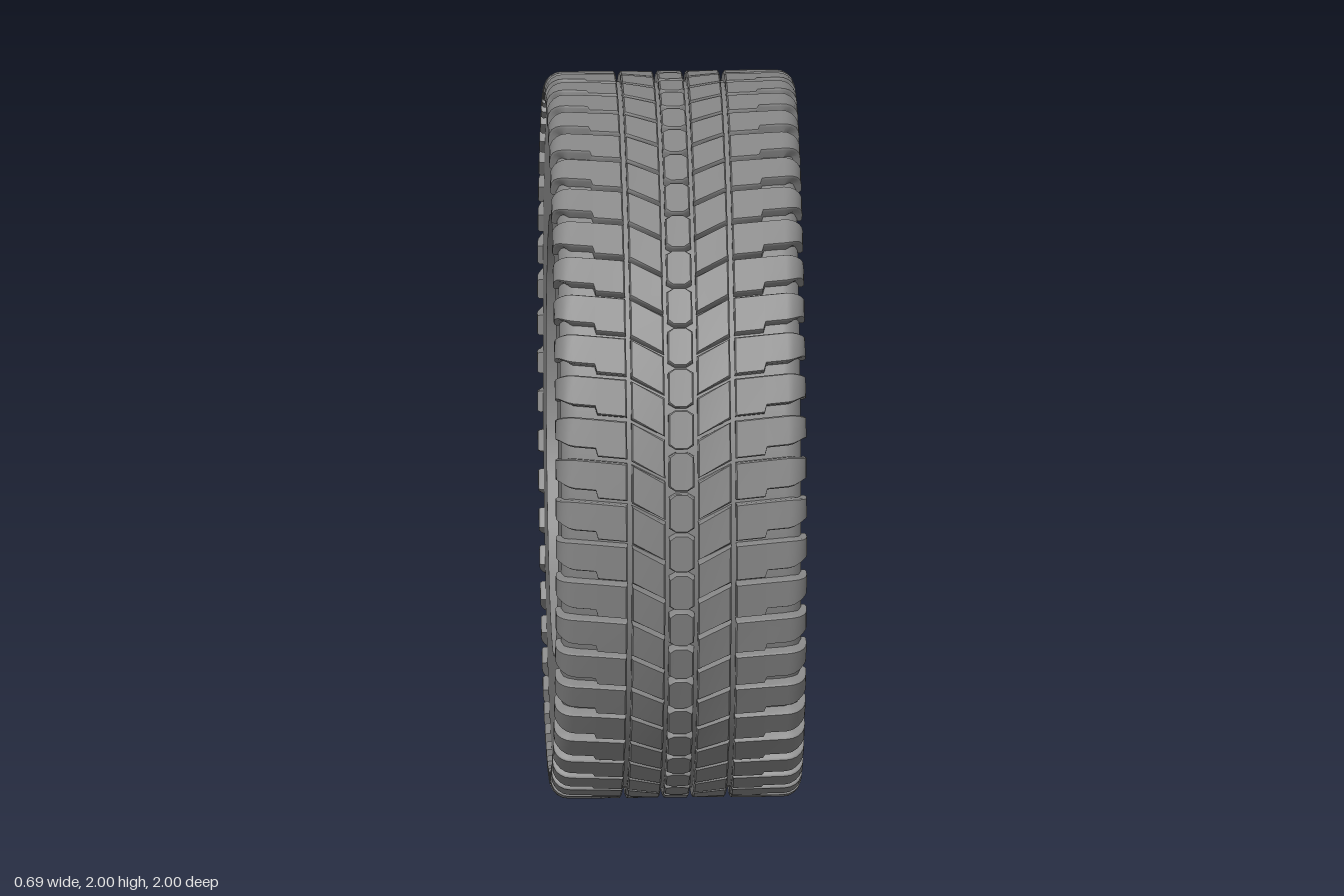
import * as THREE from 'three';
import { mergeGeometries } from 'three/addons/utils/BufferGeometryUtils.js';

const PITCHES = 54;              // tread blocks around the tyre
const STEP = (Math.PI * 2) / PITCHES;
const BORE = 0.61, BORE_SIDES = 27, WALL_X = 0.33;

// Tread cross-section by distance s from the centre line: flat crown, round shoulder, sidewall.
function profile(s, inset) {
  const a = Math.abs(s), flat = 0.295, R = 0.05, arc = (R * Math.PI) / 2;
  const t = THREE.MathUtils.clamp((a - flat) / R, 0, Math.PI / 2);
  const x = Math.min(a, flat) + (R - inset) * Math.sin(t);
  const r = 1 - R + (R - inset) * Math.cos(t) - Math.max(0, a - flat - arc);
  return [Math.sign(s) * x, r];
}

// One block: a box bent over the profile, its edges lo(a) and hi(a) in pitches, its top edges chamfered.
function block(list, lo, hi) {
  const n = list.length - 1;
  const g = new THREE.BoxGeometry(n, 1, 2, n, 1, 2);
  const p = g.attributes.position;
  for (let i = 0; i < p.count; i++) {
    const k = Math.round(p.getX(i) + n / 2), level = Math.round(p.getZ(i) + 1);
    const inset = [0.032, 0.006, 0][level];
    let s = list[k];
    const chamfer = level === 2 ? 1 : 0;
    if (k === 0) s += 0.004 * chamfer;
    if (k === n) s -= 0.004 * chamfer;
    const a = Math.abs(list[k]);
    const v = p.getY(i) > 0 ? hi(a) - 0.03 * chamfer : lo(a) + 0.03 * chamfer;
    const [x, r] = profile(s, inset);
    p.setXYZ(i, x, r * Math.sin(v * STEP), r * Math.cos(v * STEP));
  }
  g.computeVertexNormals();
  return g;
}

// Repeats a block all the way round as one mesh.
function ring(name, geometry, material) {
  const copies = [];
  for (let i = 0; i < PITCHES; i++) copies.push(geometry.clone().rotateX(i * STEP));
  const mesh = new THREE.Mesh(mergeGeometries(copies), material);
  mesh.name = name;
  return mesh;
}

// Surface of revolution about the x axis from [radius, x] points.
function revolve(name, points, sides, material) {
  const g = new THREE.LatheGeometry(points.map(([r, x]) => new THREE.Vector2(r, x)), sides, -Math.PI / 2);
  const mesh = new THREE.Mesh(g.rotateZ(-Math.PI / 2), material);
  mesh.name = name;
  return mesh;
}

export function createModel() {
  const tyre = new THREE.Group();
  tyre.name = 'tyre';
  tyre.position.y = 1;
  const rubber = new THREE.MeshStandardMaterial({ color: 0x858585 });

  // Carcass under the tread, and the coarser bore
  tyre.add(revolve('carcass', [
    [0.935, -WALL_X], [0.956, -0.322], [0.968, -0.305], [0.972, -0.285],
    [0.972, 0.285], [0.968, 0.305], [0.956, 0.322], [0.935, WALL_X],
  ], 108, rubber));
  tyre.add(revolve('bore', [[BORE, WALL_X], [BORE, -WALL_X]], BORE_SIDES, rubber));

  // Flat sidewalls
  const disc = new THREE.Shape().absarc(0, 0, 0.935, 0, Math.PI * 2);
  const hole = [];
  for (let i = 0; i < BORE_SIDES; i++) {
    const t = Math.PI / 2 + (i / BORE_SIDES) * Math.PI * 2;
    hole.push(new THREE.Vector2(BORE * Math.cos(t), BORE * Math.sin(t)));
  }
  disc.holes.push(new THREE.Path(hole));
  for (const side of [1, -1]) {
    const wall = new THREE.Mesh(new THREE.ShapeGeometry(disc, 54), rubber);
    wall.name = side > 0 ? 'leftSidewall' : 'rightSidewall';
    wall.rotation.y = (side * Math.PI) / 2;
    wall.position.x = side * WALL_X;
    tyre.add(wall);
  }

  // Centre row of tapered blocks
  const taper = (a) => 0.47 - (a > 0.02 ? 0.1 : 0);
  tyre.add(ring('centreBlocks', block([-0.035, -0.016, 0.016, 0.035], (a) => -taper(a), taper), rubber));

  // Slanted middle rows and stepped shoulder lugs that narrow as they fold onto the sidewalls
  const slant = (a) => 0.1 + Math.min(a, 0.15) * 4.5 + THREE.MathUtils.clamp(a - 0.15, 0, 0.19) * 0.8;
  const fold = (a) => THREE.MathUtils.smoothstep(a, 0.295, 0.36);
  const lugLow = (a) => slant(a) - (a > 0.233 ? 0.28 - 0.12 * fold(a) : 0.46);
  const lugHigh = (a) => slant(a) + 0.44 - 0.06 * fold(a);
  const middle = [0.045, 0.09, 0.137];
  const shoulder = [0.149, 0.23, 0.236, 0.295, 0.311, 0.327, 0.343, 0.359, 0.3735, 0.4];
  const mirror = (list) => list.map((s) => -s).reverse();
  for (const [side, place] of [['left', (l) => l], ['right', mirror]]) {
    tyre.add(ring(side + 'MiddleBlocks',
      block(place(middle), (a) => slant(a) - 0.46, (a) => slant(a) + 0.46), rubber));
    tyre.add(ring(side + 'ShoulderLugs', block(place(shoulder), lugLow, lugHigh), rubber));
  }

  const model = new THREE.Group();
  model.name = 'model';
  model.add(tyre);
  return model;
}
